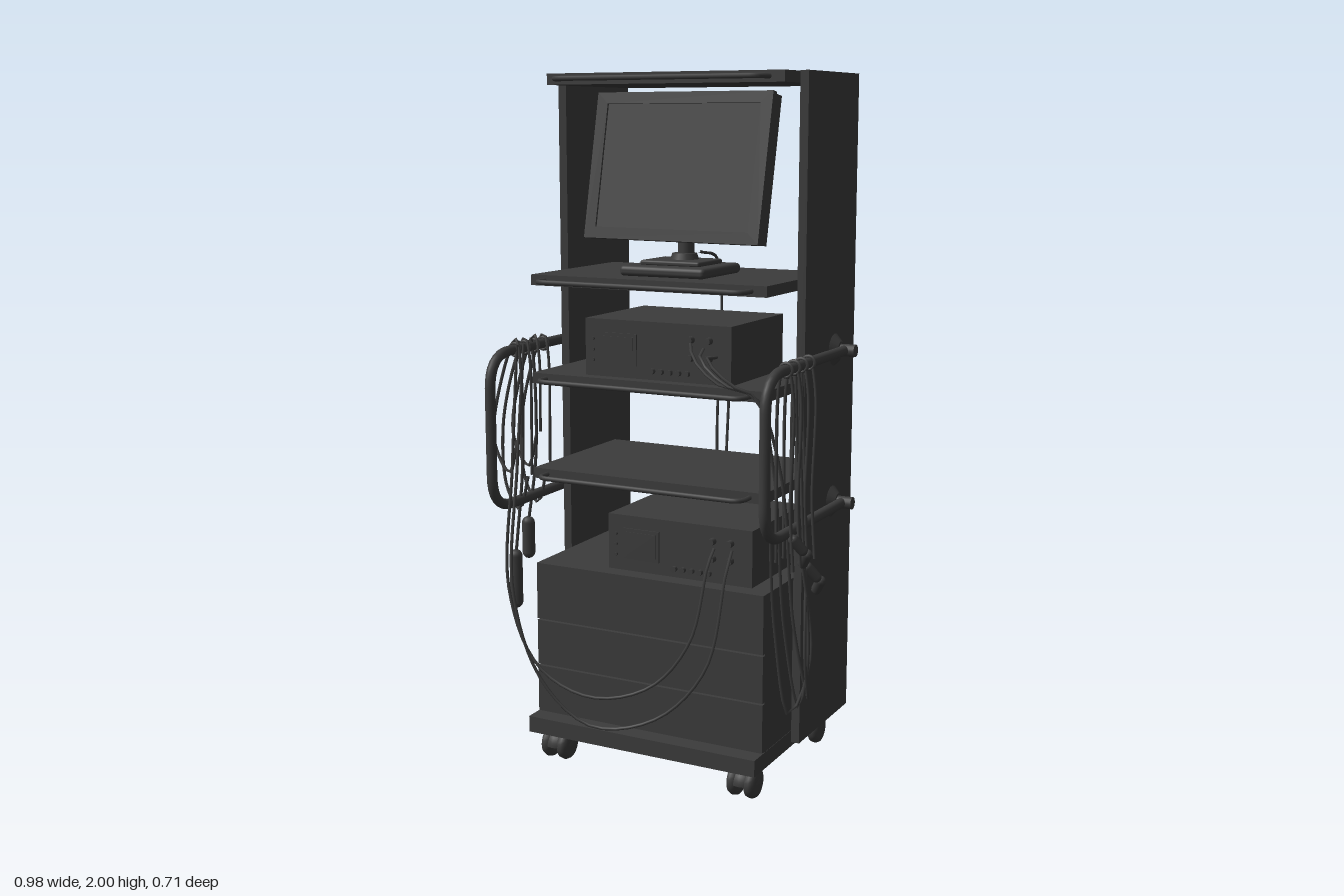
import * as THREE from 'three';
import { RoundedBoxGeometry } from 'three/addons/geometries/RoundedBoxGeometry.js';

const dark = new THREE.MeshStandardMaterial({ color: 0x3c3c3c });
const V = (p) => new THREE.Vector3(...p);
const CX = 0.01; // middle of the tower

function add(parent, name, geometry, x = 0, y = 0, z = 0) {
  const mesh = new THREE.Mesh(geometry, dark);
  mesh.name = name;
  mesh.position.set(x, y, z);
  parent.add(mesh);
  return mesh;
}

// Box given by its limits on each axis
function box(parent, name, [x0, x1], [y0, y1], [z0, z1], round = 0) {
  const s = [x1 - x0, y1 - y0, z1 - z0];
  const g = round ? new RoundedBoxGeometry(...s, 3, round) : new THREE.BoxGeometry(...s);
  return add(parent, name, g, (x0 + x1) / 2, (y0 + y1) / 2, (z0 + z1) / 2);
}

// Tube with straight runs and rounded corners
function bentTube(parent, name, points, radius, bend, sides = 10) {
  const p = points.map(V);
  const path = new THREE.CurvePath();
  let from = p[0];
  for (let i = 1; i < p.length - 1; i++) {
    const a = p[i].clone().add(p[i - 1].clone().sub(p[i]).setLength(bend));
    const b = p[i].clone().add(p[i + 1].clone().sub(p[i]).setLength(bend));
    path.add(new THREE.LineCurve3(from, a));
    path.add(new THREE.QuadraticBezierCurve3(a, p[i], b));
    from = b;
  }
  path.add(new THREE.LineCurve3(from, p[p.length - 1]));
  return add(parent, name, new THREE.TubeGeometry(path, 80, radius, sides));
}

function cable(parent, name, points, radius = 0.0045) {
  const curve = new THREE.CatmullRomCurve3(points.map(V));
  return add(parent, name, new THREE.TubeGeometry(curve, 48, radius, 6));
}

// Shelf with a slim pull bar along its front
function shelf(parent, y0, y1, zBack, zFront) {
  const g = new THREE.Group();
  g.name = 'shelf';
  box(g, 'shelfBoard', [-0.355, 0.375], [y0, y1], [zBack, zFront]);
  const y = (y0 + y1) / 2;
  bentTube(g, 'shelfPullBar', [[-0.31, y, zFront - 0.01], [-0.31, y, zFront + 0.055],
    [0.33, y, zFront + 0.055], [0.33, y, zFront - 0.01]], 0.007, 0.035, 8);
  parent.add(g);
}

// Instrument with a display, a row of knobs and sockets
function instrument(parent, x, y, zBack, zFront) {
  const g = new THREE.Group();
  g.name = 'instrument';
  g.position.set(x, y, 0);
  box(g, 'instrumentCase', [0, 0.455], [0, 0.162], [zBack, zFront]);
  box(g, 'displayFrame', [0.05, 0.165], [0.035, 0.125], [zFront, zFront + 0.004]);
  box(g, 'displayGlass', [0.06, 0.155], [0.045, 0.115], [zFront, zFront + 0.006]);
  const knob = (name, kx, ky, r, h) => {
    add(g, name, new THREE.CylinderGeometry(r, r, h, 12), kx, ky, zFront + h / 2).rotation.x = Math.PI / 2;
  };
  for (let i = 0; i < 5; i++) knob('knob', 0.215 + i * 0.027, 0.025, 0.008, 0.012);
  for (let i = 0; i < 3; i++) knob('button', 0.025, 0.045 + i * 0.03, 0.005, 0.006);
  for (const sx of [0.335, 0.39]) for (const sy of [0.07, 0.12]) knob('socket', sx, sy, 0.01, 0.02);
  parent.add(g);
}

function makeMonitor() {
  const g = new THREE.Group();
  g.name = 'monitor';
  box(g, 'standFoot', [-0.11, 0.155], [1.443, 1.472], [-0.1, 0.14], 0.012);
  box(g, 'standPlate', [-0.07, 0.115], [1.47, 1.485], [-0.06, 0.09], 0.006);
  add(g, 'standCollar', new THREE.CylinderGeometry(0.035, 0.042, 0.02, 20), 0.025, 1.492, 0.0);
  add(g, 'standNeck', new THREE.CylinderGeometry(0.023, 0.023, 0.16, 16), 0.025, 1.56, -0.01);
  const head = new THREE.Group();
  head.name = 'monitorHead';
  head.position.set(0.025, 1.742, 0.045);
  head.rotation.set(-0.19, -0.09, 0, 'YXZ');
  // Bezel with a window over the recessed screen
  const bezel = new THREE.Shape();
  const rect = (s, w, h) => s.moveTo(-w, -h).lineTo(w, -h).lineTo(w, h).lineTo(-w, h).closePath();
  rect(bezel, 0.286, 0.207);
  bezel.holes.push(rect(new THREE.Path(), 0.25, 0.175));
  add(head, 'bezel', new THREE.ExtrudeGeometry(bezel, { depth: 0.02, bevelEnabled: false }), 0, 0, -0.01);
  box(head, 'screen', [-0.26, 0.26], [-0.185, 0.185], [-0.02, 0.004]);
  box(head, 'monitorShell', [-0.282, 0.282], [-0.203, 0.203], [-0.045, -0.009]);
  // Tapered back: the rear face of a box is drawn in
  const back = new THREE.BoxGeometry(0.54, 0.38, 0.035);
  const pos = back.attributes.position;
  for (let i = 0; i < pos.count; i++) {
    if (pos.getZ(i) < 0) pos.setXY(i, pos.getX(i) * 0.8, pos.getY(i) * 0.75);
  }
  back.computeVertexNormals();
  add(head, 'monitorBack', back, 0, 0, -0.06);
  g.add(head);
  return g;
}

function makeCaster(x, z) {
  const g = new THREE.Group();
  g.name = 'caster';
  g.position.set(x, 0, z);
  const profile = [[0, -0.018], [0.03, -0.018], [0.042, -0.01], [0.045, 0.004], [0.04, 0.014], [0.03, 0.018], [0, 0.018]];
  const wheel = new THREE.LatheGeometry(profile.map((p) => new THREE.Vector2(...p)), 24);
  for (const s of [-1, 1]) add(g, 'wheel', wheel, s * 0.025, 0.045, 0).rotation.z = -s * Math.PI / 2;
  add(g, 'casterHood', new THREE.SphereGeometry(0.046, 20, 10, 0, Math.PI * 2, 0, Math.PI / 2), 0, 0.043, 0);
  add(g, 'casterStem', new THREE.CylinderGeometry(0.018, 0.018, 0.05, 12), 0, 0.085, 0);
  return g;
}

// Side rail loop, mounted on two flanges; s is the side
function makeRail(s) {
  const g = new THREE.Group();
  g.name = 'sideRail';
  const wall = CX + s * 0.39, x = CX + s * 0.423;
  bentTube(g, 'railTube', [[x, 1.225, -0.21], [x, 1.225, 0.34], [x, 0.78, 0.34], [x, 0.78, -0.21]], 0.015, 0.1, 12);
  for (const y of [1.225, 0.78]) {
    add(g, 'railFlange', new THREE.CylinderGeometry(0.025, 0.046, 0.02, 20), wall + s * 0.01, y, -0.21)
      .rotation.z = -s * Math.PI / 2;
    add(g, 'railMount', new THREE.CylinderGeometry(0.018, 0.018, 0.065, 16), wall + s * 0.032, y, -0.21)
      .rotation.z = Math.PI / 2;
  }
  return g;
}

function makeCables() {
  const g = new THREE.Group();
  g.name = 'cables';
  // Long leads drooping across the drawers to the right-hand rail
  cable(g, 'longLead', [[0.2, 0.7, 0.16], [0.2, 0.66, 0.2], [0.17, 0.45, 0.25], [0.06, 0.31, 0.28],
    [-0.1, 0.27, 0.33], [-0.27, 0.34, 0.34], [-0.37, 0.55, 0.33], [-0.39, 0.9, 0.27], [-0.4, 1.24, 0.22]]);
  cable(g, 'longLead', [[0.255, 0.7, 0.16], [0.255, 0.64, 0.2], [0.22, 0.38, 0.25], [0.08, 0.22, 0.28],
    [-0.11, 0.18, 0.32], [-0.26, 0.3, 0.34], [-0.35, 0.55, 0.34], [-0.38, 0.9, 0.26], [-0.39, 1.24, 0.2]]);
  // Upper leads led over the shelf edge to the left-hand rail
  for (let i = 0; i < 3; i++) {
    const d = i * 0.02;
    cable(g, 'upperLead', [[0.135 + i * 0.04, 1.28 - d, 0.18], [0.17 + d, 1.24, 0.23], [0.26 + d, 1.18, 0.26],
      [0.36, 1.15, 0.24], [0.39 + d / 2, 0.95, 0.23 - d], [0.39 + d, 0.5, 0.17 - d], [0.42 + d, 0.24 + d, 0.13 - d],
      [0.47, 0.4, 0.1 + d], [0.45, 0.75, 0.14 - d], [0.433, 1.24, 0.15 - d]]);
  }
  // Coils hung over both rails
  for (let i = 0; i < 4; i++) {
    const z = 0.06 + i * 0.05;
    const low = 0.75 + (i % 2) * 0.12;
    cable(g, 'hungCoil', [[-0.395, low + 0.1, z], [-0.39, 1.2, z + 0.01], [-0.41, 1.255, z], [-0.44, 1.2, z],
      [-0.485, 1.0, z + 0.01], [-0.47, low + 0.06, z + 0.02], [-0.42, low, z + 0.03], [-0.395, low + 0.1, z + 0.02]]);
    add(g, 'cableTie', new THREE.TorusGeometry(0.018, 0.005, 6, 16), -0.413, 1.225, z);
    add(g, 'cableTie', new THREE.TorusGeometry(0.018, 0.005, 6, 16), 0.433, 1.225, z);
    cable(g, 'hungCoil', [[0.41, 0.7, z], [0.415, 1.2, z], [0.433, 1.25, z], [0.455, 1.15, z], [0.45, 0.85, z], [0.46, 0.68, z]]);
    // Probe heads at the cable ends
    const probe = add(g, 'probeHead', new THREE.CapsuleGeometry(0.015, 0.04, 4, 10), 0.465, 0.6 + i * 0.05, z - 0.02);
    probe.rotation.set(0.5, 0, (i % 2) - 0.5);
  }
  // Handpieces below the right-hand rail
  for (const [y, h, z] of [[0.54, 0.14, 0.2], [0.65, 0.09, 0.13]]) {
    add(g, 'handpiece', new THREE.CapsuleGeometry(0.019, h, 6, 12), -0.43, y, z);
    cable(g, 'handpieceLead', [[-0.43, y + h / 2, z], [-0.4, 0.9, z], [-0.4, 1.15, z], [-0.41, 1.25, z]]);
  }
  // Power leads down the back
  for (const [x, top, z] of [[0, 1.5, -0.1], [0.03, 1.24, -0.15], [0.015, 0.68, -0.2]]) {
    cable(g, 'powerLead', [[x + 0.02, top, z], [x, top - 0.05, -0.275], [x - 0.01, top * 0.6, -0.285],
      [x + 0.01, 0.2, -0.29], [x, 0.08, -0.31], [x, 0.075, -0.2]]);
  }
  return g;
}

export function createModel() {
  const root = new THREE.Group();
  root.name = 'equipmentCart';

  // Tower walls and shelves
  box(root, 'sideWall', [-0.38, -0.355], [0.11, 2], [-0.358, 0.008]);
  box(root, 'sideWall', [0.375, 0.4], [0.11, 2], [-0.358, 0.008]);
  shelf(root, 1.967, 1.998, -0.358, 0.11);
  for (const y of [1.412, 1.132, 0.855]) shelf(root, y, y + 0.03, -0.26, 0.21);

  // Drawer cabinet on its base
  box(root, 'cabinet', [-0.353, 0.374], [0.14, 0.6], [-0.26, 0.195]);
  for (const [y0, y1] of [[0.147, 0.287], [0.292, 0.427], [0.432, 0.6]]) {
    box(root, 'drawerFront', [-0.353, 0.374], [y0, y1], [0.19, 0.208]);
  }
  box(root, 'base', [-0.355, 0.375], [0.097, 0.145], [-0.3, 0.26]);
  box(root, 'underTray', [-0.185, 0.2], [0.065, 0.11], [-0.22, 0.0], 0.02);
  for (const x of [-0.3, 0.31]) for (const z of [0.18, -0.28]) root.add(makeCaster(x, z));

  // Equipment
  root.add(makeMonitor());
  instrument(root, -0.2, 1.162, -0.17, 0.172);
  instrument(root, -0.14, 0.6, -0.2, 0.155);

  for (const s of [-1, 1]) root.add(makeRail(s));
  root.add(makeCables());
  return root;
}
